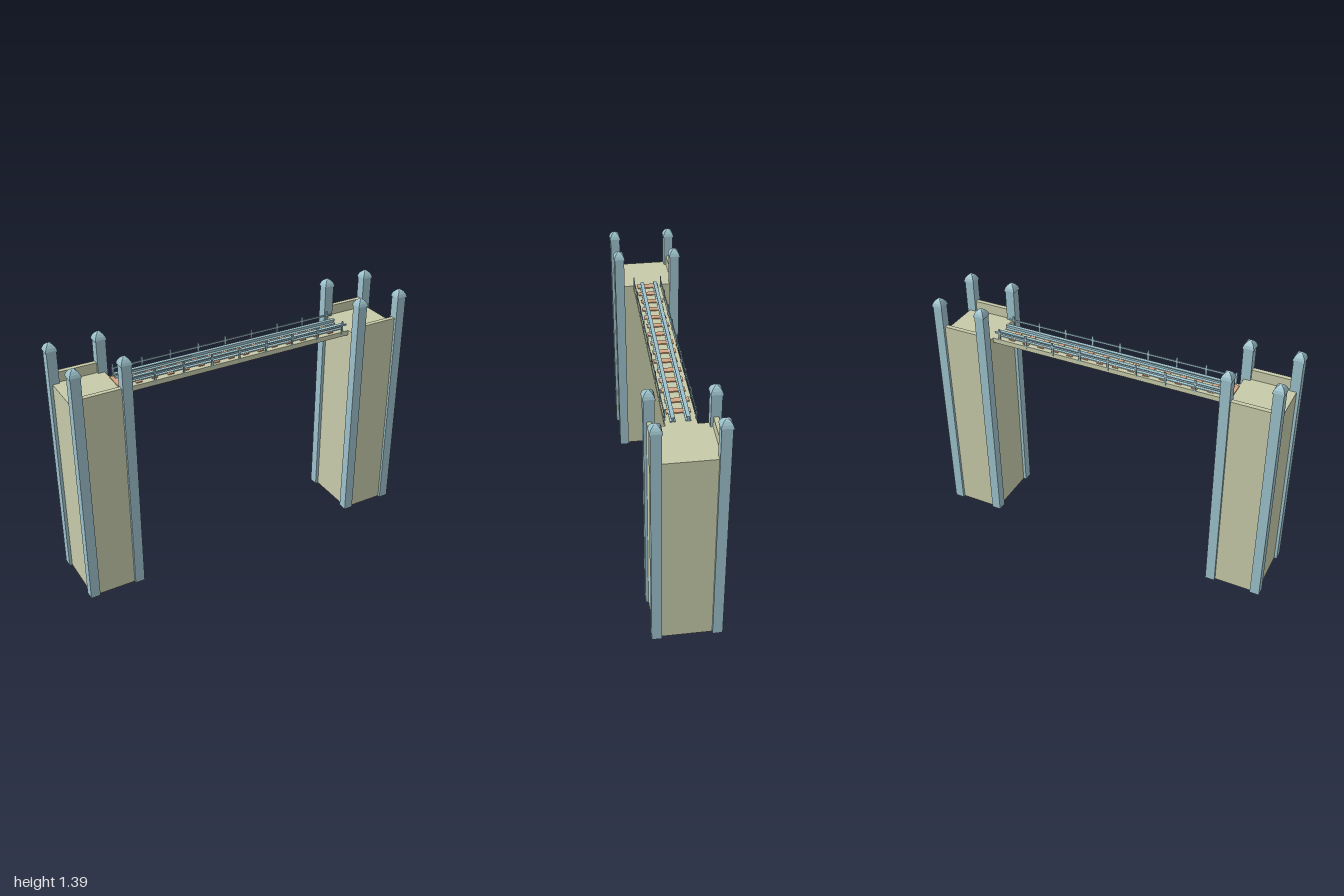
import * as THREE from 'three';

const mat = (name, color) => {
  const m = new THREE.MeshStandardMaterial({ color });
  m.name = name;
  return m;
};

export function createModel() {
  const model = new THREE.Group();
  model.name = 'railBridge';
  const stone = mat('paleStone', 0xc6caa9);
  const steel = mat('paleBlue', 0x9cc1cb);
  const wood = mat('sleeperWood', 0xd6a582);

  const add = (parent, name, geometry, material, x = 0, y = 0, z = 0) => {
    const mesh = new THREE.Mesh(geometry, material);
    mesh.name = name;
    mesh.position.set(x, y, z);
    parent.add(mesh);
    return mesh;
  };
  // box given by its lower and upper corners
  const box = (parent, name, material, [x0, y0, z0], [x1, y1, z1]) =>
    add(parent, name, new THREE.BoxGeometry(x1 - x0, y1 - y0, z1 - z0), material,
      (x0 + x1) / 2, (y0 + y1) / 2, (z0 + z1) / 2);

  const FLOOR = 1.163;

  // square faceted cap with a small brim
  const capProfile = [[0, 1.342], [0.031, 1.342], [0.031, 1.349], [0.026, 1.364],
    [0.017, 1.378], [0.007, 1.386], [0, 1.387]]
    .map(([half, y]) => new THREE.Vector2(half * Math.SQRT2, y));
  const capGeometry = new THREE.LatheGeometry(capProfile, 4, Math.PI / 4).toNonIndexed();
  capGeometry.computeVertexNormals();
  const pillarGeometry = new THREE.BoxGeometry(0.054, 1.345, 0.054);

  // towers: body, two parapets and four corner pillars each
  for (const side of [-1, 1]) {
    const tower = new THREE.Group();
    tower.name = side < 0 ? 'rightTower' : 'leftTower';
    model.add(tower);
    const x0 = side < 0 ? -0.98 : 0.695;
    const x1 = side < 0 ? -0.695 : 0.98;
    box(tower, 'towerBody', stone, [x0, 0, -0.173], [x1, FLOOR, 0.173]);
    box(tower, 'frontParapet', stone, [x0, FLOOR, 0.147], [x1, 1.22, 0.173]);
    box(tower, 'backParapet', stone, [x0, FLOOR, -0.173], [x1, 1.22, -0.147]);
    for (const x of [0.704, 0.969]) for (const z of [-0.161, 0.161]) {
      add(tower, 'pillar', pillarGeometry, steel, side * x, 0.6725, z);
      add(tower, 'pillarCap', capGeometry, steel, side * x, 0, z);
    }
  }

  // bridge deck
  box(model, 'deck', stone, [-0.697, 1.135, -0.079], [0.697, FLOOR, 0.079]);

  // sleepers, laid slightly unevenly
  for (let i = 0; i < 15; i++) {
    const x = -0.677 + i * 0.0902;
    const shift = 0.004 * Math.sin(i * 2.3);
    const half = i === 0 ? 0.022 : 0.017;
    box(model, 'sleeper', wood, [x - half, FLOOR, -0.063 + shift], [x + half, 1.169, 0.059 + shift]);
  }

  // track rails: I-shaped section, set slightly askew
  const section = new THREE.Shape([[-0.014, 0], [0.014, 0], [0.014, 0.004], [0.004, 0.008],
    [0.004, 0.017], [0.01, 0.02], [0.01, 0.026], [-0.01, 0.026], [-0.01, 0.02],
    [-0.004, 0.017], [-0.004, 0.008], [-0.014, 0.004]].map((p) => new THREE.Vector2(...p)));
  const railGeometry = new THREE.ExtrudeGeometry(section, { depth: 1.355, bevelEnabled: false });
  railGeometry.translate(0, 0, -0.6775);
  for (const z of [-0.041, 0.035]) {
    add(model, 'trackRail', railGeometry, steel, -0.002, 1.167, z).rotation.y = Math.PI / 2 - 0.006;
  }

  // railings along both deck edges
  for (const side of [-1, 1]) {
    const railing = new THREE.Group();
    railing.name = side < 0 ? 'backRailing' : 'frontRailing';
    model.add(railing);
    const z = side * 0.078;
    for (let i = 0; i < 9; i++) {
      const x = -0.672 + i * 0.1655;
      box(railing, 'railingPost', steel, [x - 0.005, 1.15, z - 0.003], [x + 0.005, 1.228, z + 0.003]);
    }
    box(railing, 'handrail', steel, [-0.68, 1.199, z - 0.0025], [0.68, 1.209, z + 0.0025]);
  }
  return model;
}
